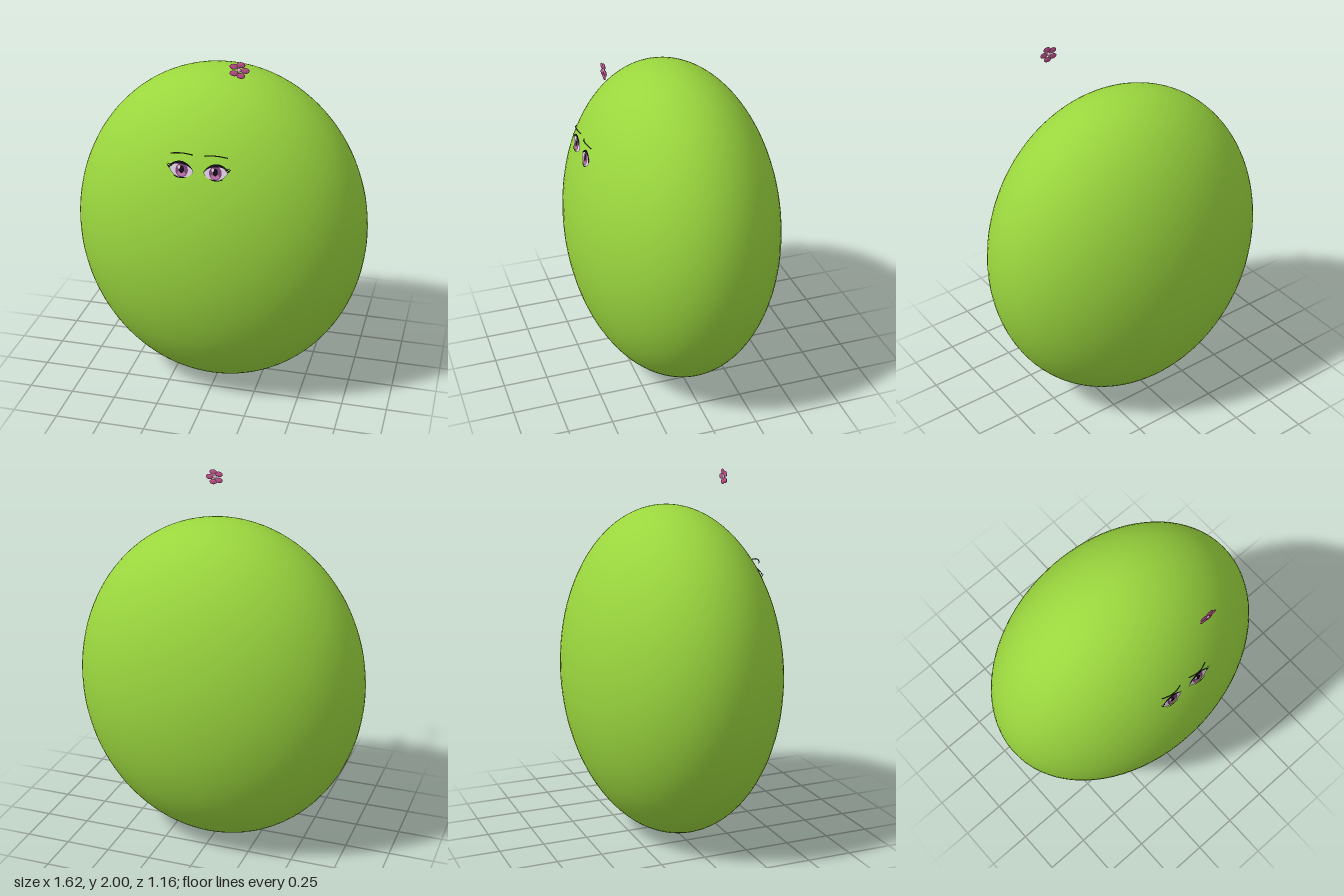
import * as THREE from 'three';

const mat = (name, color, side = THREE.FrontSide) => {
  const m = new THREE.MeshStandardMaterial({ color, side });
  m.name = name;
  return m;
};

export function createModel() {
  const model = new THREE.Group();
  model.name = 'roundCharacter';

  const green = mat('limeGreen', 0x9ad63e);
  const pink = mat('petalPink', 0xc4528f);
  const pale = mat('palePink', 0xe3b8d3);
  const white = mat('eyeWhite', 0xe6d6ea, THREE.DoubleSide);
  const black = mat('lashBlack', 0x120d14, THREE.DoubleSide);
  const purple = mat('irisPurple', 0x7d4478, THREE.DoubleSide);
  const rose = mat('irisRose', 0xc777b0, THREE.DoubleSide);
  const olive = mat('browOlive', 0x34421a);

  const add = (parent, name, geometry, material, x = 0, y = 0, z = 0) => {
    const mesh = new THREE.Mesh(geometry, material);
    mesh.name = name;
    mesh.position.set(x, y, z);
    parent.add(mesh);
    return mesh;
  };

  // Flat outline made of an upper and a lower curve between two corners
  const almond = (x0, y0, x1, y1, top, bottom) => {
    const s = new THREE.Shape();
    const w = x1 - x0;
    s.moveTo(x0, y0);
    s.bezierCurveTo(x0 + w * 0.25, top, x1 - w * 0.25, top, x1, y1);
    s.bezierCurveTo(x1 - w * 0.2, bottom, x0 + w * 0.2, bottom, x0, y0);
    return new THREE.ShapeGeometry(s, 20);
  };
  const disc = (rx, ry) => new THREE.CircleGeometry(1, 28).scale(rx, ry, 1);

  // Body: a flattened egg
  add(model, 'body', new THREE.SphereGeometry(1, 80, 56).scale(0.81, 0.92, 0.58), green, 0, 0.923, 0);

  // Eyes and brows, mirrored
  for (const side of [1, -1]) {
    const eye = new THREE.Group();
    eye.name = side > 0 ? 'leftEye' : 'rightEye';
    eye.position.set(side * 0.088, 1.435, 0.491);
    eye.rotation.x = -0.25;
    eye.scale.x = side;
    model.add(eye);

    add(eye, 'eyeWhite', almond(-0.062, -0.006, 0.066, 0.006, 0.048, -0.052), white);
    add(eye, 'iris', disc(0.033, 0.036), purple, 0, -0.001, 0.001);
    add(eye, 'irisGlow', disc(0.021, 0.013), rose, 0, -0.019, 0.002);
    add(eye, 'pupil', disc(0.013, 0.02), black, 0, 0.003, 0.003);
    add(eye, 'highlight', disc(0.007, 0.009), white, -side * 0.014, 0.014, 0.004);
    add(eye, 'upperLash', almond(-0.068, -0.012, 0.074, 0.008, 0.062, 0.042), black, 0, 0, 0.005);
    add(eye, 'lowerLash', almond(-0.03, -0.032, 0.045, -0.027, -0.037, -0.045), black, 0, 0, 0.005);

    // Outer lash flicks
    [[0.052, 0.018, 0.5], [0.062, 0.008, 0.75]].forEach(([x, y, turn]) => {
      const flick = new THREE.Shape([
        new THREE.Vector2(0, -0.005), new THREE.Vector2(0.027, 0), new THREE.Vector2(0, 0.005),
      ]);
      add(eye, 'lashFlick', new THREE.ShapeGeometry(flick), black, x, y, 0.005).rotation.z = turn;
    });

    // Thin arched brow
    const arch = new THREE.CatmullRomCurve3([
      [0.03, 1.517, 0.481], [0.07, 1.527, 0.492], [0.105, 1.526, 0.49], [0.148, 1.514, 0.473],
    ].map(([x, y, z]) => new THREE.Vector3(side * x, y, z)));
    add(model, side > 0 ? 'leftBrow' : 'rightBrow', new THREE.TubeGeometry(arch, 20, 0.003, 6), olive);
  }

  // Floating five-petal flower
  const flower = new THREE.Group();
  flower.name = 'flower';
  flower.position.set(0.187, 1.957, 0.408);
  model.add(flower);
  const petal = new THREE.SphereGeometry(1, 18, 12).scale(0.022, 0.015, 0.005);
  for (let i = 0; i < 5; i++) {
    const a = (i * Math.PI * 2) / 5;
    add(flower, 'petal', petal, pink, Math.cos(a) * 0.031, Math.sin(a) * 0.029, 0);
  }
  add(flower, 'flowerCentre', new THREE.SphereGeometry(1, 14, 10).scale(0.011, 0.011, 0.008), pale);

  return model;
}
